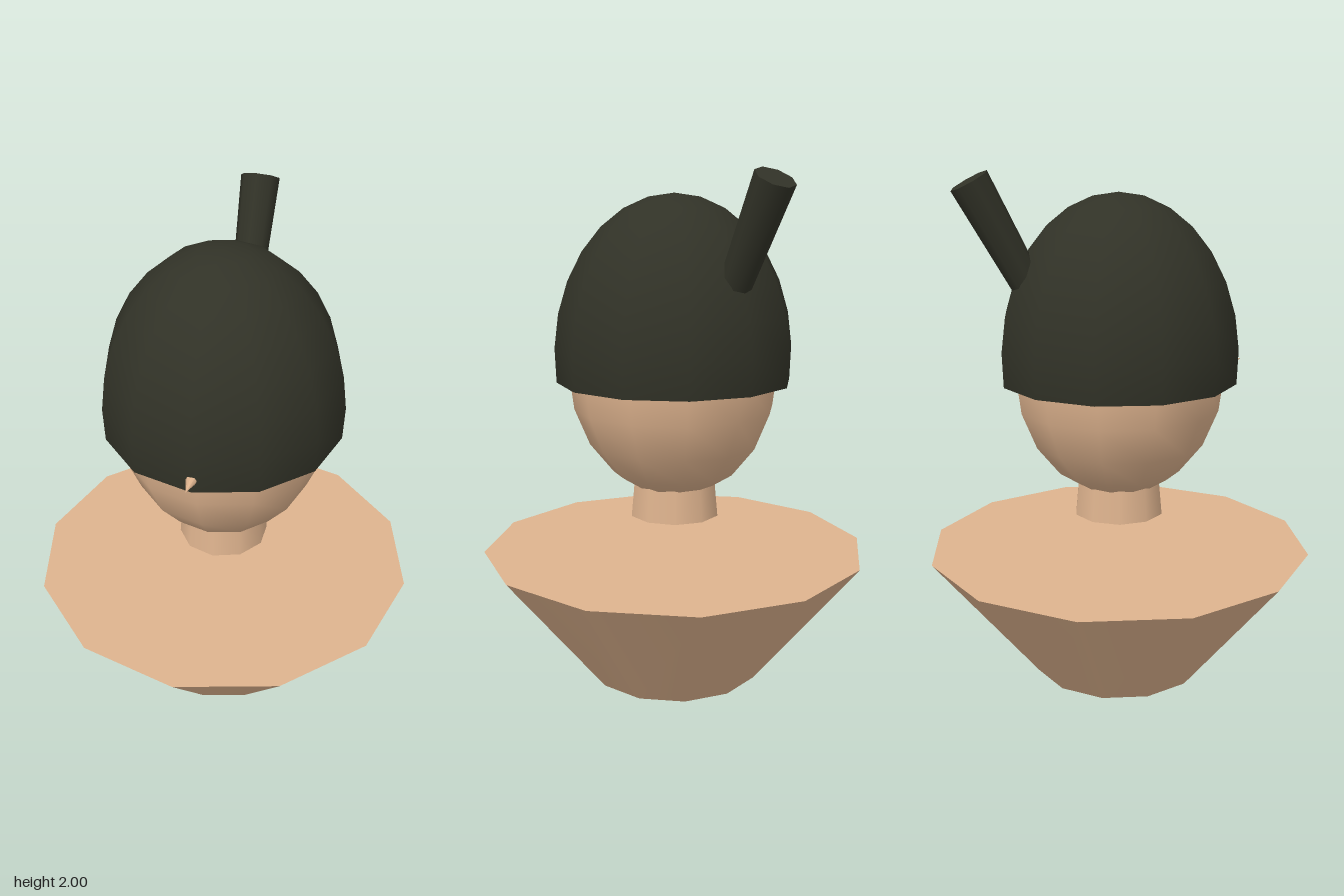
import * as THREE from 'three';

export function createModel() {
  const model = new THREE.Group();
  model.name = 'bust';

  const skin = new THREE.MeshStandardMaterial({ color: 0xdeb38e });
  skin.name = 'skin';
  const hatColour = new THREE.MeshStandardMaterial({ color: 0x313227, side: THREE.DoubleSide });
  hatColour.name = 'dark olive';

  const add = (name, geometry, material, x, y, z) => {
    const mesh = new THREE.Mesh(geometry, material);
    mesh.name = name;
    mesh.position.set(x, y, z);
    model.add(mesh);
    return mesh;
  };

  // Tapered torso, floating neck and egg-shaped head
  add('torso', new THREE.CylinderGeometry(0.765, 0.345, 0.52, 12), skin, 0, 0.26, 0);
  add('neck', new THREE.CylinderGeometry(0.165, 0.18, 0.16, 10), skin, 0, 0.74, 0);
  const head = new THREE.SphereGeometry(0.415, 12, 10);
  head.scale(1, 1.23, 1);
  add('head', head, skin, 0, 1.25, 0);

  // Pointed nose poking through the front of the cap
  const nose = add('nose', new THREE.ConeGeometry(0.038, 0.13, 8), skin, 0, 1.25, 0.463);
  nose.rotation.x = Math.PI / 2;

  // Open cap reaching slightly below its widest line
  const cap = new THREE.SphereGeometry(0.467, 12, 8, 0, Math.PI * 2, 0, Math.PI * 0.55);
  cap.scale(1, 0.623 / 0.467, 1);
  add('cap', cap, hatColour, 0, 1.297, 0);

  // Tail leaning out of the back of the cap
  const tail = add('tail', new THREE.CylinderGeometry(0.076, 0.058, 0.5, 8), hatColour, 0, 1.745, -0.447);
  tail.rotation.x = -0.5;

  return model;
}
